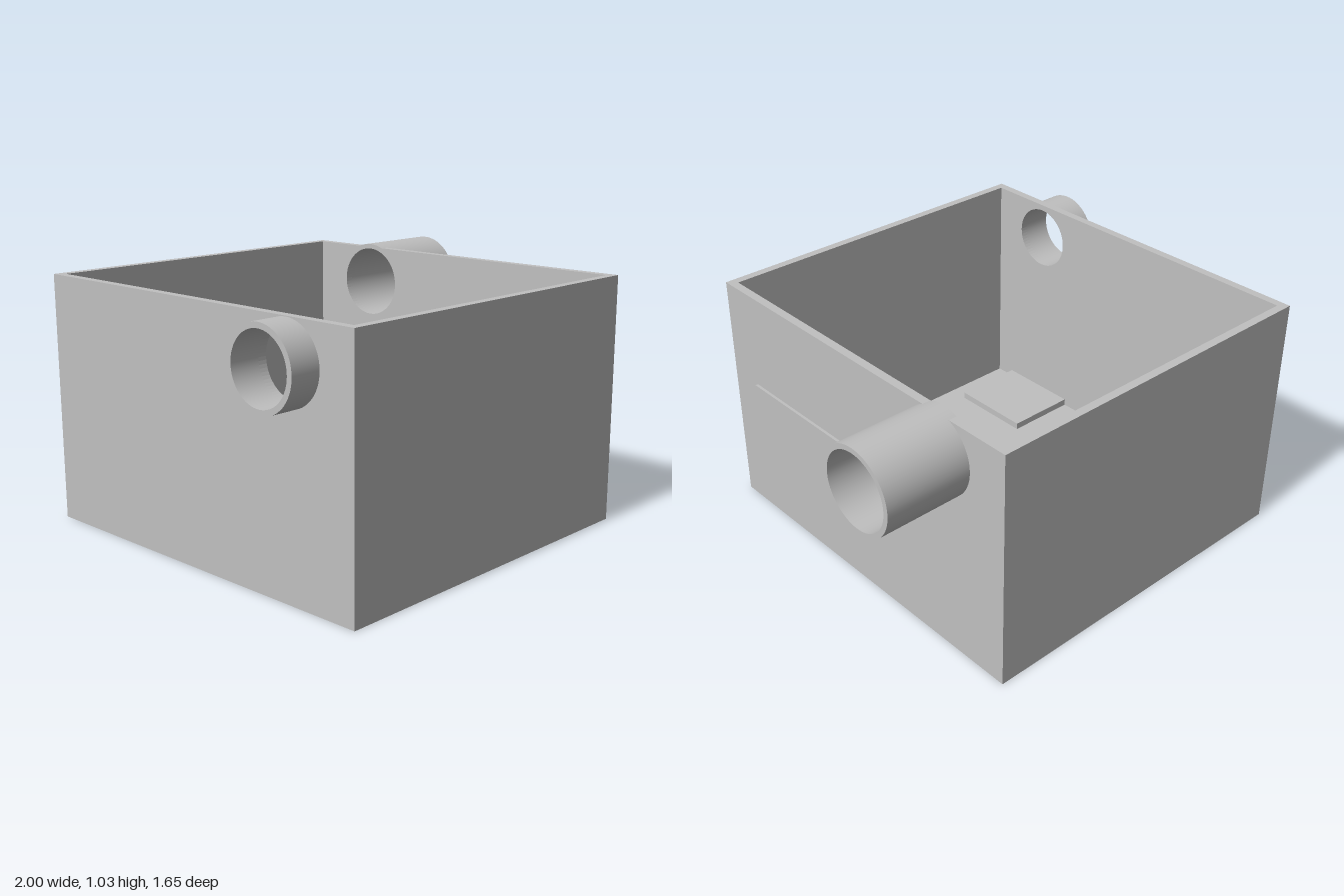
import * as THREE from 'three';

const WALL = 0.035, HEIGHT = 1.02, HALF_DEPTH = 0.825;
const X_MIN = -0.875, X_MAX = 0.645, PIPE_Y = 0.86;

export function createModel() {
  const group = new THREE.Group();
  const grey = new THREE.MeshStandardMaterial({ color: 0xc0c0c0 });
  grey.name = 'plain grey';

  function add(name, geometry) {
    const mesh = new THREE.Mesh(geometry, grey);
    mesh.name = name;
    group.add(mesh);
  }

  // Box given by its extents
  function box(name, x0, x1, y0, y1, z0, z1) {
    const geometry = new THREE.BoxGeometry(x1 - x0, y1 - y0, z1 - z0);
    add(name, geometry.translate((x0 + x1) / 2, (y0 + y1) / 2, (z0 + z1) / 2));
  }

  // Extrude an outline with a round hole along +x, starting at x0
  function extrudeAlongX(name, shape, z, y, radius, x0, length) {
    shape.holes.push(new THREE.Path().absarc(-z, y, radius, 0, Math.PI * 2, true));
    const geometry = new THREE.ExtrudeGeometry(shape, { depth: length, bevelEnabled: false, curveSegments: 32 });
    add(name, geometry.rotateY(Math.PI / 2).translate(x0, 0, 0));
  }

  // Side wall pierced by its pipe's bore
  function sideWall(name, x0, pipeZ, bore) {
    const shape = new THREE.Shape([
      new THREE.Vector2(-HALF_DEPTH, 0), new THREE.Vector2(HALF_DEPTH, 0),
      new THREE.Vector2(HALF_DEPTH, HEIGHT), new THREE.Vector2(-HALF_DEPTH, HEIGHT),
    ]);
    extrudeAlongX(name, shape, pipeZ, PIPE_Y, bore, x0, WALL);
  }

  // Hollow pipe with smooth inner and outer walls and flat end rings
  function pipe(name, x0, x1, z, outer, bore) {
    const p = (r, x) => new THREE.Vector2(r, x);
    const parts = new THREE.Group();
    parts.name = name;
    const faces = {
      OuterSurface: [p(outer, x0), p(outer, x1)],
      OuterEnd: [p(outer, x1), p(bore, x1)],
      Bore: [p(bore, x1), p(bore, x0)],
      InnerEnd: [p(bore, x0), p(outer, x0)],
    };
    for (const [part, profile] of Object.entries(faces)) {
      const geometry = new THREE.LatheGeometry(profile, 64);
      geometry.rotateZ(-Math.PI / 2).translate(0, PIPE_Y, z);
      const mesh = new THREE.Mesh(geometry, grey);
      mesh.name = name + part;
      parts.add(mesh);
    }
    group.add(parts);
  }

  // Open tank
  const inL = X_MIN + WALL, inR = X_MAX - WALL, inZ = HALF_DEPTH - WALL;
  box('floor', inL, inR, 0, WALL, -inZ, inZ);
  box('frontWall', inL, inR, 0, HEIGHT, inZ, HALF_DEPTH);
  box('backWall', inL, inR, 0, HEIGHT, -HALF_DEPTH, -inZ);
  sideWall('inletWall', X_MIN, 0.513, 0.135);
  sideWall('outletWall', inR, -0.478, 0.153);

  // Pipes through the side walls
  pipe('inletPipe', -1, inL, 0.513, 0.157, 0.135);
  pipe('outletPipe', inR, 1, -0.478, 0.174, 0.153);

  // Pad on the floor below the inlet, and the thin outer rib
  box('splashPad', inL, -0.52, WALL, WALL + 0.03, 0.325, 0.7);
  box('outerRib', X_MAX, 0.657, 0.598, 0.61, -0.125, 0.665);

  return group;
}
